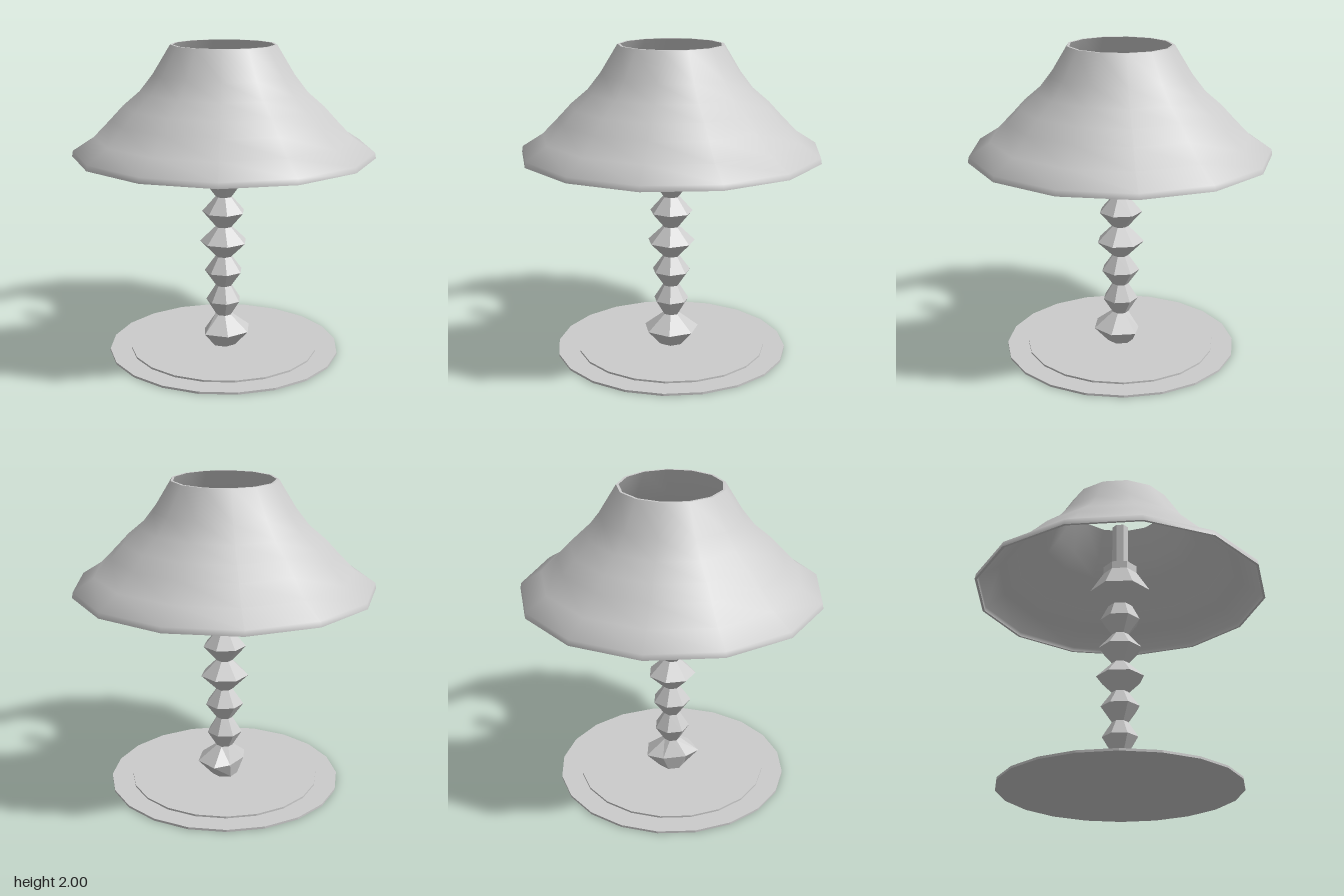
import * as THREE from 'three';
import { toCreasedNormals } from 'three/addons/utils/BufferGeometryUtils.js';

const lathe = (profile, sides, start = 0) =>
  new THREE.LatheGeometry(profile.map(([r, y]) => new THREE.Vector2(r, y)), sides, start);

export function createModel() {
  const model = new THREE.Group();
  model.name = 'tableLamp';
  const smooth = new THREE.MeshStandardMaterial({ color: 0xcccccc });
  const faceted = new THREE.MeshStandardMaterial({ color: 0xcccccc, flatShading: true });

  const add = (name, geometry, material) => {
    const mesh = new THREE.Mesh(geometry, material);
    mesh.name = name;
    model.add(mesh);
    return mesh;
  };

  // Two thin stacked discs form the foot
  add('footPlate', new THREE.CylinderGeometry(0.752, 0.752, 0.014, 20), faceted).position.y = 0.007;
  add('footInset', new THREE.CylinderGeometry(0.613, 0.613, 0.012, 20), faceted).position.y = 0.02;

  // Seven-sided stem: bulges 0.2 apart with narrow necks between them
  const stemProfile = [[0, 0.02], [0.085, 0.026]];
  const bulges = [0.18, 0.115, 0.125, 0.155, 0.14, 0.13];
  bulges.forEach((r, i) => {
    const y = 0.13 + 0.2 * i;
    stemProfile.push([r, y], [i === bulges.length - 1 ? 0.08 : 0.053, y + 0.1]);
  });
  // Widest bulge, collar and lamp post hidden in the shade
  stemProfile.push([0.2, 1.33], [0.112, 1.47], [0.112, 1.52], [0.055, 1.525], [0.055, 1.83], [0, 1.83]);
  const stem = lathe(stemProfile, 7, Math.PI / 2);

  // The lowest bulge is flattened on its right side
  const p = stem.attributes.position;
  for (let i = 0; i < p.count; i++) {
    if (Math.abs(p.getY(i) - 0.13) < 0.01) p.setX(i, Math.max(p.getX(i), -0.1));
  }
  add('stem', stem, faceted);

  // Flared thirteen-sided shade with a thin wall, open at both ends
  const outer = [
    [0.956, 1.31], [0.95, 1.345], [0.817, 1.43], [0.71, 1.54],
    [0.631, 1.625], [0.525, 1.715], [0.443, 1.82], [0.333, 2],
  ];
  const inner = outer.map(([r, y], i) => [r - 0.016, i > 0 && i < 7 ? y - 0.008 : y]).reverse();
  const shade = lathe([...outer, ...inner, outer[0]], 13);
  add('shade', toCreasedNormals(shade, 1.0), smooth);

  model.children.forEach((part) => { part.position.z = -0.013; });
  return model;
}
